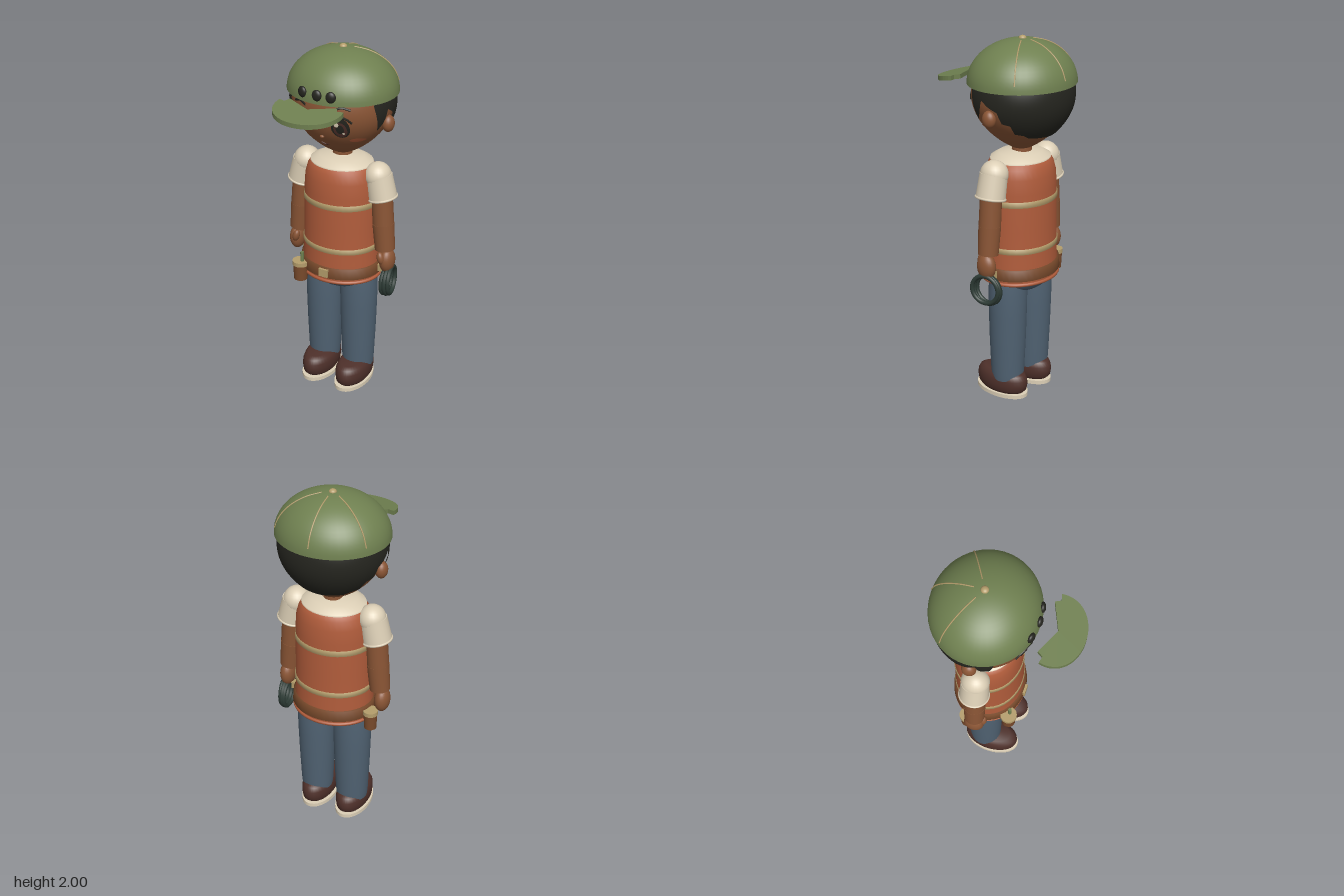
import * as THREE from 'three';

const mat = (name, color) => Object.assign(new THREE.MeshStandardMaterial({ color }), { name });
const CZ = -0.115; // z of the body axis

// Linear interpolation through [t, value] keys
function interp(keys, t) {
  for (let i = 1; i < keys.length; i++) {
    const [a, va] = keys[i - 1], [b, vb] = keys[i];
    if (t <= b) return va + (vb - va) * Math.max(0, (t - a) / (b - a));
  }
  return keys[keys.length - 1][1];
}

// Head radius by height: tapered chin, round skull
function headR(y) {
  const t = Math.min(1, Math.abs(y - 1.7) / (y < 1.7 ? 0.305 : 0.27));
  return 0.272 * Math.pow(1 - t * t, y < 1.7 ? 0.8 : 0.5);
}
const HEAD_Z = 0.95;
const faceZ = (x, y) => CZ + HEAD_Z * Math.sqrt(Math.max(0, headR(y) ** 2 - x * x));

const TORSO = [[0.7, 0.226], [0.8, 0.218], [1.0, 0.213], [1.2, 0.21], [1.28, 0.204], [1.33, 0.19], [1.36, 0.17], [1.385, 0.12]];
const torsoR = y => interp(TORSO, y);
const TORSO_Z = 0.865;

export function createModel() {
  const root = new THREE.Group();
  root.name = 'capWorker';
  const skin = mat('skin', 0x8a5535), green = mat('capGreen', 0x6f8050), orange = mat('vestOrange', 0xb05c3b);
  const denim = mat('denim', 0x506272), shoe = mat('shoeBrown', 0x4e302a), cream = mat('cream', 0xdccfb6);
  const tan = mat('tan', 0xb59e6c), dark = mat('hairBlack', 0x25251f), leather = mat('leather', 0x7a4b2c);
  const coil = mat('coilGreen', 0x2d3b35);
  for (const m of [green, dark, cream]) m.side = THREE.DoubleSide;

  function add(name, geo, m, x = 0, y = 0, z = 0, parent = root) {
    const mesh = new THREE.Mesh(geo, m);
    mesh.name = name;
    mesh.position.set(x, y, z);
    parent.add(mesh);
    return mesh;
  }
  const lathe = (pts, zScale = 1, seg = 40) =>
    new THREE.LatheGeometry(pts.map(p => new THREE.Vector2(...p)), seg).scale(1, 1, zScale);
  const ball = (rx, ry, rz) => new THREE.SphereGeometry(1, 24, 16).scale(rx, ry, rz);
  const tube = (pts, r) => new THREE.TubeGeometry(
    new THREE.CatmullRomCurve3(pts.map(p => new THREE.Vector3(...p))), 24, r, 6);
  // Tapered cylinder from a (top) to b (bottom)
  function limb(name, a, b, ra, rb, m) {
    const A = new THREE.Vector3(...a), B = new THREE.Vector3(...b), d = A.clone().sub(B);
    const mesh = add(name, new THREE.CylinderGeometry(ra, rb, d.length(), 24), m);
    mesh.position.copy(A).add(B).multiplyScalar(0.5);
    mesh.quaternion.setFromUnitVectors(new THREE.Vector3(0, 1, 0), d.normalize());
    return mesh;
  }

  // Head and neck
  const headPts = [];
  for (let i = 0; i <= 36; i++) {
    const y = 1.6825 - 0.2875 * Math.cos(Math.PI * i / 36);
    headPts.push([headR(y), y]);
  }
  add('head', lathe(headPts, HEAD_Z, 48), skin, 0, 0, CZ);
  add('neck', new THREE.CylinderGeometry(0.05, 0.055, 0.12, 24), skin, 0, 1.4, CZ);

  // Hair shell: lower edge height by angle from the front
  const edge = [[62, 1.74], [70, 1.6], [77, 1.64], [82, 1.71], [92, 1.68], [102, 1.66], [106, 1.6], [116, 1.59],
    [120, 1.54], [132, 1.53], [140, 1.51], [180, 1.5]];
  const hair = new THREE.PlaneGeometry(1, 1, 118, 12), hp = hair.attributes.position;
  for (let i = 0; i < hp.count; i++) {
    const deg = 62 + (hp.getX(i) + 0.5) * 236, a = deg * Math.PI / 180;
    const low = interp(edge, deg > 180 ? 360 - deg : deg);
    const y = low + (1.78 - low) * (hp.getY(i) + 0.5), r = headR(y) + 0.014;
    hp.setXYZ(i, r * Math.sin(a), y, CZ + r * HEAD_Z * Math.cos(a));
  }
  hair.computeVertexNormals();
  add('hair', hair, dark);

  // Face details laid on the head surface
  function patch(name, x, y, rx, ry, off, m) {
    const g = new THREE.RingGeometry(0, 1, 24, 4), p = g.attributes.position;
    for (let i = 0; i < p.count; i++) {
      const px = x + p.getX(i) * rx, py = y + p.getY(i) * ry;
      p.setXYZ(i, px, py, faceZ(px, py) + off);
    }
    g.computeVertexNormals();
    add(name, g, m);
  }
  const faceLine = (name, pts, r, m) => add(name, tube(pts.map(([x, y]) => [x, y, faceZ(x, y) + 0.003]), r), m);
  for (const s of [1, -1]) {
    patch('eye', s * 0.11, 1.635, 0.044, 0.06, 0.003, dark);
    patch('iris', s * 0.11, 1.625, 0.032, 0.044, 0.005, shoe);
    patch('pupil', s * 0.11, 1.63, 0.019, 0.028, 0.007, dark);
    patch('eyeGlint', s * 0.11 - 0.013, 1.658, 0.011, 0.014, 0.009, cream);
    patch('smallGlint', s * 0.11 + 0.014, 1.605, 0.006, 0.007, 0.009, cream);
    faceLine('upperLash', [[s * 0.06, 1.675], [s * 0.1, 1.698], [s * 0.14, 1.69], [s * 0.165, 1.665]], 0.006, dark);
    faceLine('eyebrow', [[s * 0.08, 1.735], [s * 0.12, 1.747], [s * 0.16, 1.735]], 0.006, dark);
    patch('cheek', s * 0.163, 1.55, 0.03, 0.014, 0.003, orange);
    add('ear', ball(0.032, 0.046, 0.038), skin, s * 0.268, 1.615, CZ);
  }
  add('nose', ball(0.013, 0.01, 0.012), skin, 0, 1.567, faceZ(0, 1.567));
  faceLine('mouth', [[-0.024, 1.517], [0, 1.508], [0.024, 1.517]], 0.004, shoe);

  // Cap dome, seams, button and hair tufts
  const capPoint = (f, a, off = 0) => { // f: 0 rim to 1 crown
    const e = f * Math.PI / 2, c = Math.cos(e);
    return [(0.3 + off) * c * Math.sin(a), 1.76 + (0.226 + off) * Math.sin(e), CZ + (0.277 + off) * c * Math.cos(a)];
  };
  const dome = [];
  for (let i = 0; i <= 16; i++) { const [, y] = capPoint(i / 16, 0); dome.push([0.3 * Math.cos(i * Math.PI / 32), y]); }
  add('capDome', lathe(dome, 0.277 / 0.3, 48), green, 0, 0, CZ);
  for (const a of [Math.PI, Math.PI * 0.68, -Math.PI * 0.68])
    add('capSeam', tube([0.12, 0.3, 0.5, 0.7, 0.88].map(f => capPoint(f, a, 0.001)), 0.0035), tan);
  add('capButton', ball(0.02, 0.015, 0.02), tan, 0, 1.985, CZ);
  for (const x of [-0.093, 0, 0.077]) {
    const tuft = add('hairTuft', ball(0.027, 0.03, 0.016), dark, ...capPoint(0.13, Math.asin(x / 0.3)));
    tuft.rotation.y = x * 3;
  }

  // Visor: notched crescent, tilted down to the front
  const outline = new THREE.Shape();
  outline.moveTo(0, -0.25);
  outline.lineTo(-0.135, -0.19);
  outline.lineTo(-0.152, -0.219);
  outline.lineTo(-0.185, -0.211);
  outline.bezierCurveTo(-0.205, -0.31, -0.12, -0.39, 0, -0.39);
  outline.bezierCurveTo(0.12, -0.39, 0.205, -0.31, 0.185, -0.211);
  outline.lineTo(0.152, -0.219);
  outline.lineTo(0.135, -0.19);
  outline.closePath();
  const visor = new THREE.ExtrudeGeometry(outline, { depth: 0.024, bevelEnabled: false, curveSegments: 16 }).rotateX(-Math.PI / 2);
  const vp = visor.attributes.position;
  for (let i = 0; i < vp.count; i++) vp.setY(i, vp.getY(i) + 1.752 - (vp.getZ(i) - 0.19) * 0.18);
  visor.computeVertexNormals();
  add('capVisor', visor, green);

  // Vest with bands, shirt yoke, belt and hem
  const band = (name, y0, y1, off, m) => add(name, lathe(
    [[torsoR(y0) - 0.01, y0], [torsoR(y0) + off, y0 + 0.001], [torsoR(y1) + off, y1 - 0.001], [torsoR(y1) - 0.01, y1]],
    TORSO_Z), m, 0, 0, CZ + 0.008);
  add('vest', lathe([[0, 0.7], [0.21, 0.698], ...TORSO.map(([y, r]) => [r, y]), [0, 1.388]], TORSO_Z), orange, 0, 0, CZ + 0.008);
  add('shirtYoke', lathe([[0.176, 1.355], [0.174, 1.363], [0.125, 1.389], [0.065, 1.396], [0.052, 1.4]], TORSO_Z), cream, 0, 0, CZ + 0.008);
  band('upperBand', 1.133, 1.166, 0.004, tan);
  band('lowerBand', 0.873, 0.904, 0.004, tan);
  band('belt', 0.725, 0.787, 0.011, leather);
  add('vestHem', new THREE.TorusGeometry(0.224, 0.01, 8, 48).rotateX(Math.PI / 2).scale(1, 1, TORSO_Z), orange, 0, 0.703, CZ + 0.008);
  add('buckle', new THREE.BoxGeometry(0.055, 0.046, 0.018), tan, 0, 0.756, 0.096);
  add('beltLoop', new THREE.BoxGeometry(0.03, 0.04, 0.035), tan, 0.24, 0.757, CZ);

  // Hips, legs and shoes
  add('hips', ball(0.205, 0.105, 0.165), denim, 0, 0.71, CZ + 0.005);
  for (const s of [1, -1]) {
    add('leg', lathe([[0.088, 0.1], [0.092, 0.15], [0.1, 0.35], [0.104, 0.5], [0.106, 0.62], [0.1, 0.7]]), denim, s * 0.11, 0, CZ + 0.005);
    add('shoe', lathe([[0, 0.02], [0.078, 0.022], [0.088, 0.04], [0.091, 0.07], [0.09, 0.1], [0.082, 0.125], [0.066, 0.14], [0, 0.145]], 1.77),
      shoe, s * 0.109, 0, -0.073);
    add('sole', new THREE.CylinderGeometry(0.095, 0.095, 0.022, 36).scale(1, 1, 1.73), cream, s * 0.107, 0.011, -0.07);
  }

  // Arms: sleeve, cuff, arm, hand and thumb
  for (const s of [1, -1]) {
    add('shoulder', ball(0.073, 0.075, 0.076), cream, s * 0.218, 1.312, CZ + 0.008);
    limb('sleeve', [s * 0.222, 1.315, CZ + 0.008], [s * 0.249, 1.19, CZ + 0.008], 0.074, 0.079, cream);
    const cuff = add('cuff', new THREE.TorusGeometry(0.077, 0.007, 8, 32).rotateX(Math.PI / 2), cream, s * 0.249, 1.191, CZ + 0.008);
    cuff.rotation.z = s * 0.21;
    limb('upperArm', [s * 0.244, 1.21, CZ + 0.008], [s * 0.256, 1.04, CZ + 0.008], 0.058, 0.059, skin);
    limb('forearm', [s * 0.256, 1.04, CZ + 0.008], [s * 0.27, 0.885, CZ + 0.008], 0.06, 0.055, skin);
    add('hand', ball(0.042, 0.072, 0.056), skin, s * 0.285, 0.818, CZ + 0.008);
    add('thumb', ball(0.02, 0.036, 0.022), skin, s * 0.268, 0.845, -0.06).rotation.z = s * 0.25;
  }

  // Cable coil hanging from the left hand
  const coilGroup = new THREE.Group();
  coilGroup.name = 'cableCoil';
  coilGroup.position.set(0.294, 0.69, CZ);
  root.add(coilGroup);
  [-1, 0, 1].forEach(i => {
    const ring = add('coilLoop', new THREE.TorusGeometry(0.08 - Math.abs(i) * 0.003, 0.012, 10, 36), coil, i * 0.015, i * 0.004, 0, coilGroup);
    ring.rotation.y = Math.PI / 2 + 0.12 + i * 0.07;
  });

  // Belt pouches on the right side, one holding a tool
  for (const [x, z, r] of [[-0.17, 0.056, 0.043], [-0.243, -0.165, 0.038]]) {
    add('pouch', new THREE.CylinderGeometry(r, r * 0.88, 0.1, 20), leather, x, 0.705, z);
    add('pouchRim', new THREE.CylinderGeometry(r * 1.08, r * 1.08, 0.024, 20), tan, x, 0.757, z);
  }
  add('toolHandle', new THREE.CylinderGeometry(0.01, 0.01, 0.07, 12), green, -0.158, 0.79, 0.06);
  return root;
}
